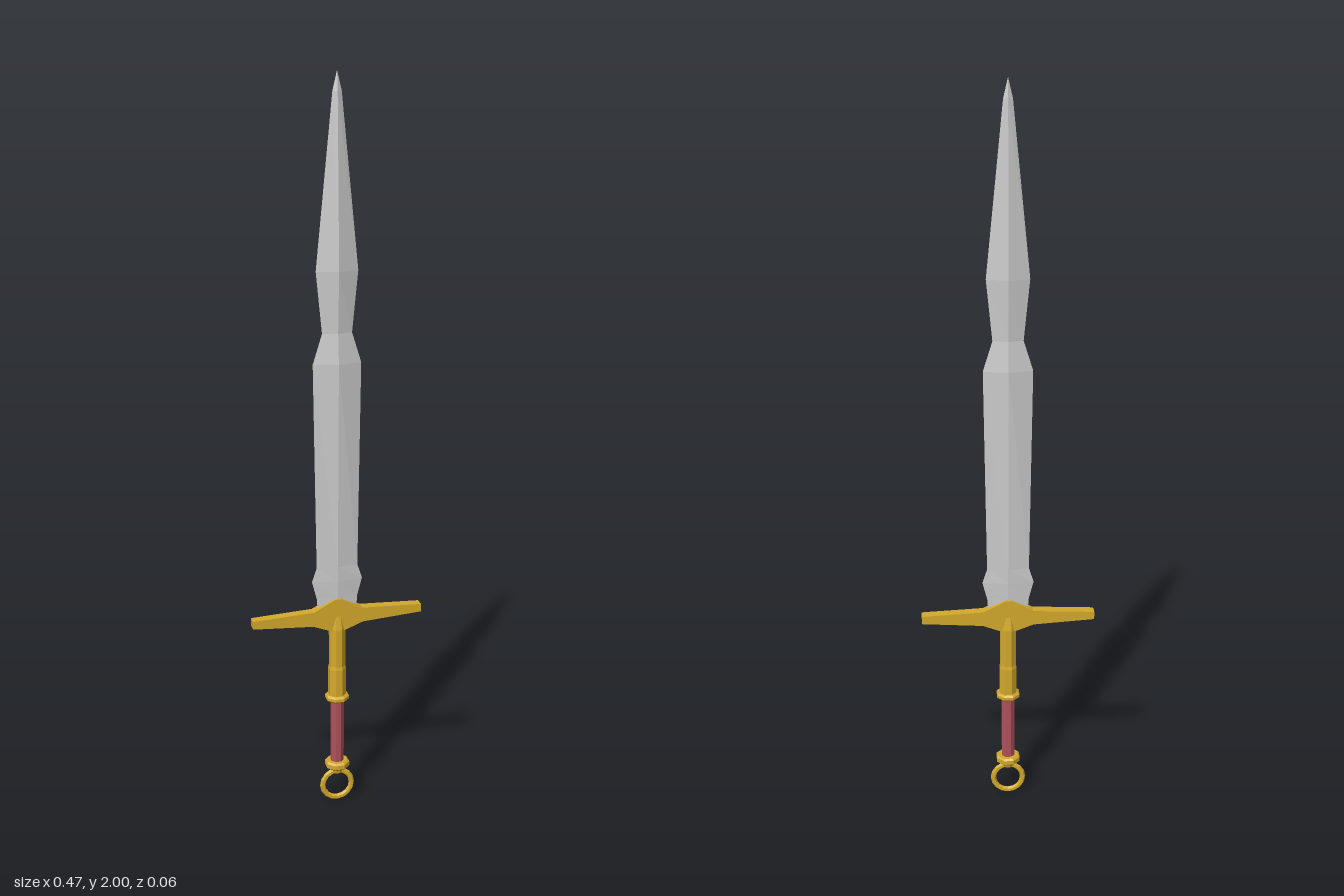
import * as THREE from 'three';

const material = (color) => new THREE.MeshStandardMaterial({ color, flatShading: true });

export function createModel() {
  const group = new THREE.Group();
  const steel = material(0xcccccc);
  const gold = material(0xd4aa2c);
  const red = material(0xb0505a);

  const add = (name, geometry, mat) => {
    const mesh = new THREE.Mesh(geometry, mat);
    mesh.name = name;
    group.add(mesh);
    return mesh;
  };
  // Eight-sided turned part from [radius, y] pairs, bottom to top
  const turned = (name, profile, mat) =>
    add(name, new THREE.LatheGeometry(profile.map(([r, y]) => new THREE.Vector2(r, y)), 8, Math.PI / 8), mat);

  // Blade: diamond sections [half width, y, half thickness]
  const sections = [
    [0, 0.58, 0], [0.054, 0.58, 0.008], [0.057, 0.62, 0.008], [0.07, 0.67, 0.009],
    [0.057, 0.71, 0.009], [0.065, 1.27, 0.018], [0.04, 1.35, 0.011],
    [0.056, 1.51, 0.02], [0.012, 1.95, 0.006], [0, 2, 0],
  ];
  const blade = new THREE.LatheGeometry(sections.map(([w, y]) => new THREE.Vector2(w, y)), 4);
  const p = blade.attributes.position;
  for (let i = 0; i < p.count; i++) {
    const [w, , t] = sections[i % sections.length];
    if (w > 0) p.setZ(i, p.getZ(i) * t / w);
  }
  add('blade', blade, steel);

  // Crossguard: tapered arms, mirrored about the centre
  const half = [[0.02, 0.527], [0.07, 0.546], [0.237, 0.557], [0.237, 0.579], [0.068, 0.587], [0.008, 0.618]];
  const outline = [...half, ...half.map(([x, y]) => [-x, y]).reverse()];
  const guard = new THREE.ExtrudeGeometry(
    new THREE.Shape(outline.map(([x, y]) => new THREE.Vector2(x, y))),
    { depth: 0.028, bevelEnabled: false });
  guard.translate(0, 0, -0.014);
  add('crossguard', guard, gold);

  // Handle: ferrule rising to a point over the guard, wrapped grip and collars
  turned('ferrule', [[0.025, 0.325], [0.025, 0.41], [0.023, 0.42], [0.023, 0.53], [0.004, 0.622], [0, 0.622]], gold);
  turned('upperCollar', [[0, 0.314], [0.029, 0.314], [0.034, 0.319], [0.034, 0.327], [0.029, 0.332], [0, 0.332]], gold);
  turned('grip', [[0.019, 0.12], [0.019, 0.32]], red);
  turned('lowerCollar', [[0, 0.088], [0.014, 0.088], [0.018, 0.105], [0.03, 0.105], [0.035, 0.11],
    [0.035, 0.122], [0.03, 0.127], [0, 0.127]], gold);

  // Ring pommel
  const ring = add('pommelRing', new THREE.TorusGeometry(0.042, 0.008, 6, 16), gold);
  ring.position.y = 0.05;

  return group;
}
